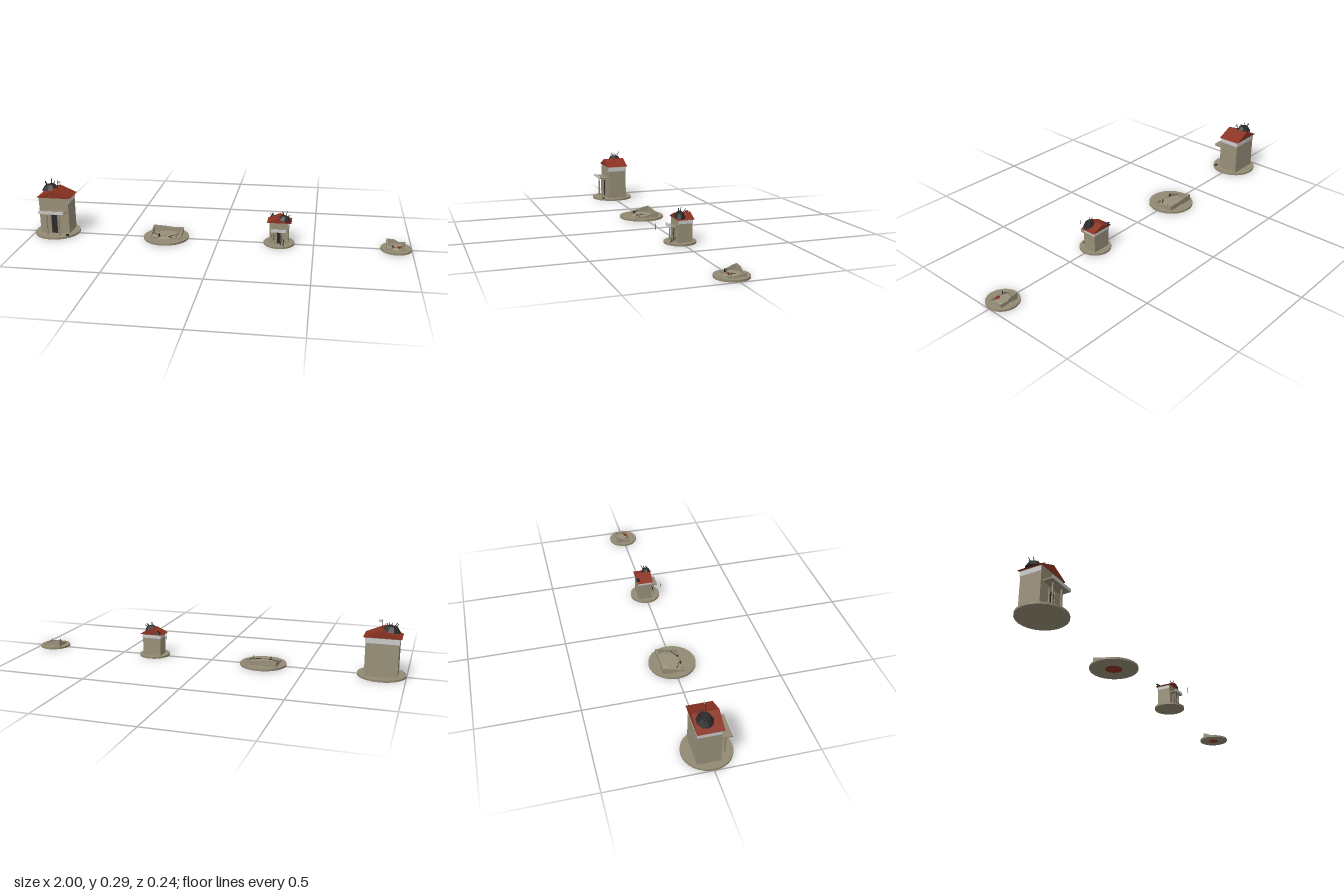
import * as THREE from 'three';

const paint = (name, color, extra = {}) => {
  const m = new THREE.MeshStandardMaterial({ color, ...extra });
  m.name = name;
  return m;
};

export function createModel() {
  const root = new THREE.Group();
  root.name = 'buildingsAndRuins';
  const stone = paint('stone', 0x928972, { flatShading: true });
  const wall = paint('wall', 0x989079, { flatShading: true });
  const tile = paint('roofTile', 0x8a3221, { flatShading: true });
  const trim = paint('paleTrim', 0xcacaca);
  const char = paint('charred', 0x2b2828, { flatShading: true });

  const add = (parent, name, geo, mat, x = 0, y = 0, z = 0) => {
    const m = new THREE.Mesh(geo, mat);
    m.name = name;
    m.position.set(x, y, z);
    parent.add(m);
    return m;
  };
  // box given by its ranges
  const block = (parent, name, mat, x0, x1, y0, y1, z0, z1) =>
    add(parent, name, new THREE.BoxGeometry(x1 - x0, y1 - y0, z1 - z0), mat,
      (x0 + x1) / 2, (y0 + y1) / 2, (z0 + z1) / 2);
  const rod = (parent, name, mat, r, a, b) => {
    const from = new THREE.Vector3(...a), d = new THREE.Vector3(...b).sub(from);
    const m = add(parent, name, new THREE.CylinderGeometry(r, r, d.length(), 6), mat);
    m.position.copy(from).addScaledVector(d, 0.5);
    m.quaternion.setFromUnitVectors(new THREE.Vector3(0, 1, 0), d.normalize());
    return m;
  };
  const extrude = (pts, depth) => new THREE.ExtrudeGeometry(
    new THREE.Shape(pts.map(p => new THREE.Vector2(...p))), { depth, bevelEnabled: false });
  const site = (name, x, r) => {
    const g = new THREE.Group();
    g.name = name;
    g.position.x = x;
    root.add(g);
    add(g, 'base', new THREE.CylinderGeometry(r, r, 0.01, 32), stone, 0, 0.005, 0);
    return g;
  };

  // charred heap with splinters, lying on a roof slope
  const heap = (parent, x, y, z, rx, rz, h, tilt) => {
    const g = new THREE.Group();
    g.name = 'charredHeap';
    g.position.set(x, y, z);
    g.rotation.z = tilt;
    parent.add(g);
    const geo = new THREE.CylinderGeometry(0.55, 1, 1, 9);
    const m = add(g, 'heap', geo, char);
    m.scale.set(rx, h, rz);
    for (let i = 0; i < 5; i++) {
      const a = i * 2.4, c = Math.cos(a), s = Math.sin(a);
      rod(g, 'splinter', char, 0.0018, [c * rx * 0.2, 0, s * rz * 0.3],
        [c * rx * 0.6, h * (1.0 + 0.2 * (i % 3)), s * rz * 0.6 - 0.008]);
    }
  };

  // house: walls, gable roof, trim on three sides, porch
  const house = (name, x, o) => {
    const g = site(name, x, o.base);
    block(g, 'walls', wall, -o.w, o.w, 0.01, o.eave, o.back, o.front);
    const roof = extrude([[-o.rw, o.eave], [o.rw, o.eave], [0, o.ridge]], o.rf - o.rb);
    add(g, 'roof', roof, tile, 0, 0, o.rb);
    const [t0, t1] = o.trim, t = 0.002;
    for (const s of [-1, 1])
      block(g, 'sideTrim', trim, s * o.w - t, s * o.w + t, t0, t1, o.back, o.front - t);
    block(g, 'backTrim', trim, -o.w - t, o.w + t, t0, t1, o.back - t, o.back + t);
    // porch
    block(g, 'porchSlab', stone, -o.pw, o.pw, o.py - 0.006, o.py, o.front, o.pf);
    block(g, 'porchFascia', trim, -o.pw, o.pw, o.py - 0.006, o.py + 0.009, o.pf - 0.001, o.pf + 0.002);
    for (const s of [-1, 1])
      block(g, 'porchColumn', stone, s * o.cx - o.cw, s * o.cx + o.cw, 0.01, o.py - 0.006,
        o.cz - o.cw, o.cz + o.cw);
    block(g, 'doorway', char, -o.cx * 0.6, o.cx * 0.6, 0.01, o.py * 0.8, o.front, o.front + 0.002);
    for (const s of [-1, 1])
      block(g, 'doorPost', stone, s * o.cx * 0.6 - o.cw, s * o.cx * 0.6 + o.cw, 0.01, o.py * 0.85,
        o.front, o.front + 0.006);
    return g;
  };

  const large = house('largeHouse', -0.88, {
    base: 0.12, w: 0.08, back: -0.068, front: 0.043, eave: 0.206, ridge: 0.246,
    rw: 0.092, rb: -0.076, rf: 0.048, trim: [0.177, 0.202],
    pw: 0.068, py: 0.138, pf: 0.094, cx: 0.033, cw: 0.0035, cz: 0.073
  });
  heap(large, -0.038, 0.246, -0.028, 0.047, 0.04, 0.026, 0.12);
  rod(large, 'flagPole', char, 0.0012, [0.008, 0.24, -0.013], [0.008, 0.286, -0.013]);
  block(large, 'flag', trim, 0.008, 0.027, 0.272, 0.285, -0.0135, -0.0125);
  block(large, 'debris', char, 0.07, 0.085, 0.01, 0.017, 0.07, 0.08);

  const small = house('smallHouse', 0.32, {
    base: 0.08, w: 0.049, back: -0.045, front: 0.028, eave: 0.123, ridge: 0.151,
    rw: 0.063, rb: -0.052, rf: 0.032, trim: [0.103, 0.119],
    pw: 0.038, py: 0.089, pf: 0.06, cx: 0.02, cw: 0.0025, cz: 0.046
  });
  heap(small, 0.028, 0.146, 0.012, 0.036, 0.029, 0.022, -0.3);
  heap(small, -0.04, 0.135, -0.045, 0.014, 0.012, 0.01, 0.4);
  rod(small, 'leaningBeam', char, 0.0025, [0.025, 0.01, 0.062], [0.025, 0.034, 0.03]);
  rod(small, 'leaningPost', char, 0.0015, [0.012, 0.01, 0.05], [0.018, 0.075, 0.036]);
  rod(small, 'looseRod', char, 0.0008, [-0.02, 0.066, 0.12], [-0.02, 0.098, 0.12]);
  rod(small, 'looseRod', char, 0.0008, [-0.035, 0.067, 0.08], [-0.035, 0.086, 0.08]);

  // ruin: low broken walls around a rubble floor
  const ruin = (name, x, r, o) => {
    const g = site(name, x, r);
    const { w, b, f, hl, hr, t } = o;
    add(g, 'backWall', extrude([[-w, 0.01], [w, 0.01], [w, hr], [w * 0.3, hr - 0.002],
      [-w * 0.2, hl - 0.003], [-w, hl]], t), wall, 0, 0, b);
    for (const s of [-1, 1]) {
      const h = s < 0 ? hl : hr, d = f - b;
      // profile runs along z from the back corner, sloping down to the front
      const geo = extrude([[0, 0.01], [d, 0.01], [d, 0.014], [d * 0.55, 0.01 + (h - 0.01) * 0.5],
        [d * 0.3, 0.01 + (h - 0.01) * 0.8], [0, h]], t);
      geo.rotateY(-Math.PI / 2);
      add(g, 'sideWall', geo, wall, s < 0 ? -w + t : w, 0, b);
    }
    for (const s of [-1, 1])
      block(g, 'frontWallStub', wall, s * w * 0.7 - w * 0.28, s * w * 0.7 + w * 0.28, 0.01, 0.018, f - t, f);
    // uneven rubble floor
    const mound = add(g, 'rubbleFloor', new THREE.CylinderGeometry(0.7, 1, 0.008, 8), wall, 0, 0.014, (b + f) / 2);
    mound.scale.set(w * 1.05, 1, (f - b) * 0.56);
    mound.rotation.y = 0.2;
    // broken posts, stones and beams
    for (let i = 0; i < 5; i++) {
      const px = w * (-0.75 + i * 0.37);
      const h = 0.02 + 0.006 * ((i * 2) % 3);
      block(g, 'brokenPost', i % 2 ? char : stone, px - t * 0.4, px + t * 0.4, 0.01, h, f - t * 2.5, f - t * 1.7);
      const rock = add(g, 'rubble', new THREE.DodecahedronGeometry(t * 0.8), stone,
        w * Math.sin(i * 2.1) * 0.75, 0.017, (b + f) / 2 + (f - b) * 0.35 * Math.cos(i * 1.7));
      rock.rotation.set(i, i * 2, 0);
    }
    for (const s of [-1, 1])
      rod(g, 'fallenBeam', char, t * 0.22, [s * w * 0.2, 0.019, f * 0.7], [s * w * 0.85, 0.026, f * 0.1]);
    // tile patch showing underneath
    add(g, 'undersidePatch', new THREE.CylinderGeometry(r * 0.36, r * 0.36, 0.002, 9), tile, 0, 0.0005, 0);
    return g;
  };

  ruin('largeRuin', -0.28, 0.12, { w: 0.083, b: -0.068, f: 0.05, hl: 0.044, hr: 0.038, t: 0.007 });
  const ruinB = ruin('smallRuin', 0.92, 0.08, { w: 0.049, b: -0.045, f: 0.034, hl: 0.042, hr: 0.028, t: 0.005 });
  const scrap = block(ruinB, 'roofScrap', tile, 0.005, 0.025, 0.018, 0.022, 0.01, 0.024);
  scrap.rotation.y = 0.5;

  return root;
}
